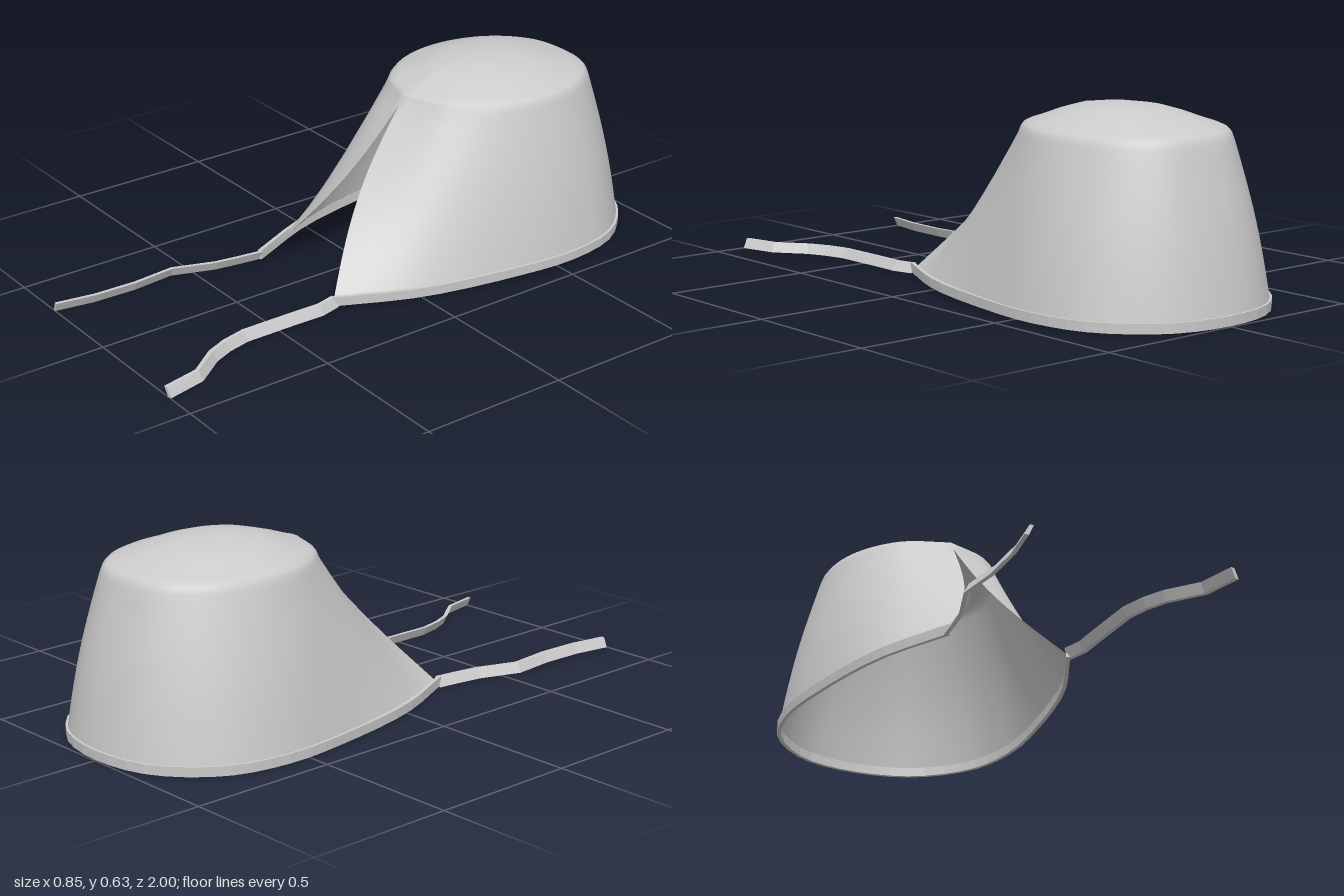
import * as THREE from 'three';
import { mergeVertices } from 'three/addons/utils/BufferGeometryUtils.js';

const cloth = new THREE.MeshStandardMaterial({ color: 0xcccccc, side: THREE.DoubleSide });
cloth.name = 'light grey cloth';

// Half outline [x, z] from back to front, mirrored into one left-to-right curve
function outline(half) {
  const mirrored = half.slice(1).reverse().map(([x, z]) => [-x, z]);
  return new THREE.CatmullRomCurve3(
    [...mirrored, ...half].map(([x, z]) => new THREE.Vector3(x, 0, z)));
}
const base = outline([[0, -0.996], [0.21, -0.95], [0.37, -0.79], [0.42, -0.58],
  [0.4, -0.33], [0.33, 0], [0.21, 0.27]]);
const rim = outline([[0, -0.88], [0.14, -0.855], [0.255, -0.74], [0.307, -0.56],
  [0.275, -0.38], [0.165, -0.23], [0, -0.16]]);

// Quads over a grid of points, rows running along i and columns along j
function quads(index, columns, rows, stride, wrap) {
  for (let j = 0; j < rows; j++) {
    for (let i = 0; i < columns; i++) {
      const k = wrap ? (j + 1) % rows : j + 1;
      const at = (ii, jj) => jj * stride[1] + ii * stride[0];
      const a = at(i, j), b = at(i + 1, j), c = at(i, k), d = at(i + 1, k);
      index.push(a, c, b, b, c, d);
    }
  }
}

function geometryFrom(positions, index) {
  const g = new THREE.BufferGeometry();
  g.setAttribute('position', new THREE.Float32BufferAttribute(positions, 3));
  g.setIndex(index);
  return g;
}

// Wall split at the front, closing into a domed crown
function capShell() {
  const N = 72, W = 14;
  const crown = [[0.98, 0.548], [0.95, 0.56], [0.89, 0.569], [0.82, 0.576], [0.75, 0.584],
    [0.6, 0.602], [0.43, 0.618], [0.2, 0.628], [0, 0.631]];
  const positions = [], index = [];
  for (let j = 0; j <= W; j++) {
    const v = j / W, bow = Math.sin(Math.PI * v);
    for (let i = 0; i <= N; i++) {
      const t = i / N, p = base.getPoint(t).lerp(rim.getPoint(t), v);
      const front = Math.pow(Math.abs(2 * t - 1), 10);
      const out = new THREE.Vector3(p.x, 0, p.z + 0.5).normalize();
      p.addScaledVector(out, 0.012 * bow * (1 - front));
      p.x -= Math.sign(2 * t - 1) * 0.048 * bow * front;
      if (j === W && (i === 0 || i === N)) p.x = 0;
      positions.push(p.x, 0.005 + 0.525 * v, p.z);
    }
  }
  for (const [s, y] of crown) {
    for (let i = 0; i <= N; i++) {
      const p = rim.getPoint(i / N);
      const x = i === 0 || i === N ? 0 : p.x * s;
      positions.push(x, y, -0.5 + (p.z + 0.5) * s);
    }
  }
  quads(index, N, W + crown.length, [1, N + 1], false);
  const g = mergeVertices(geometryFrom(positions, index), 1e-4);
  g.computeVertexNormals();
  return g;
}

// Four-sided band swept along a ground path; section rows are [outward, y]
function band(path, section) {
  const positions = [], index = [], n = path.length - 1;
  path.forEach((p, i) => {
    const d = path[Math.min(i + 1, n)].clone().sub(path[Math.max(i - 1, 0)]).normalize();
    for (const [o, y] of section) positions.push(p.x + d.z * o, y, p.z - d.x * o);
  });
  quads(index, n, 4, [4, 1], true);
  const e = n * 4;
  index.push(0, 2, 1, 0, 3, 2, e, e + 1, e + 2, e, e + 2, e + 3);
  const g = geometryFrom(positions, index).toNonIndexed();
  g.computeVertexNormals();
  return g;
}

export function createModel() {
  const group = new THREE.Group();
  group.name = 'bonnet';
  const add = (name, geometry) => {
    const mesh = new THREE.Mesh(geometry, cloth);
    mesh.name = name;
    group.add(mesh);
  };
  const ground = (points) => points.map(([x, z]) => new THREE.Vector3(x, 0, z));

  add('capShell', capShell());

  // Hem around the lower edge
  add('hem', band(base.getPoints(40),
    [[0.003, 0.002], [0.004, 0.034], [-0.009, 0.034], [-0.01, 0.002]]));

  // Tie strings lying on the ground, each leaning inward at the top
  const tie = [[0.014, 0], [-0.002, 0.032], [-0.015, 0.032], [0, 0]];
  add('leftTie', band(ground([[0.21, 0.26], [0.228, 0.33], [0.226, 0.42], [0.226, 0.62],
    [0.245, 0.7], [0.275, 0.77], [0.35, 0.87], [0.378, 1]]), tie));
  add('rightTie', band(ground([[-0.297, 1], [-0.275, 0.87], [-0.27, 0.72], [-0.285, 0.57],
    [-0.235, 0.43], [-0.22, 0.34], [-0.21, 0.26]]), tie));
  return group;
}
